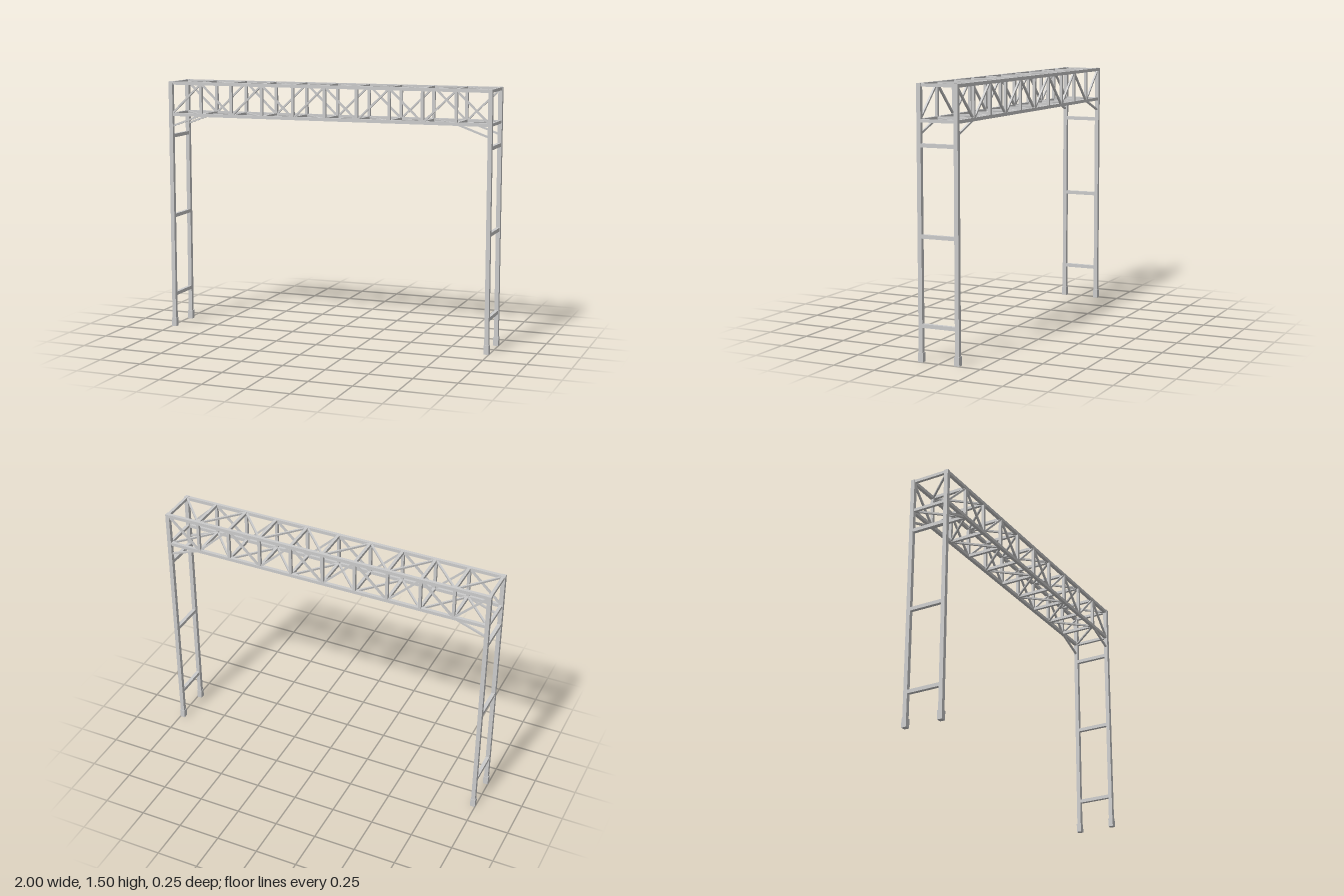
import * as THREE from 'three';

const X = 0.985, Z = 0.11;          // post centre lines
const TOP = 1.49, LOW = 1.302;      // chord heights
const PANELS = 10, STEP = (2 * X) / PANELS;

export function createModel() {
  const model = new THREE.Group();
  model.name = 'trussGantry';
  const material = new THREE.MeshStandardMaterial({ color: 0xcccccc, flatShading: true });

  // Square bar running between two points
  function bar(name, a, b, size) {
    const from = new THREE.Vector3(...a), to = new THREE.Vector3(...b);
    const mesh = new THREE.Mesh(new THREE.BoxGeometry(size, size, from.distanceTo(to)), material);
    mesh.name = name;
    mesh.position.copy(from).add(to).multiplyScalar(0.5);
    mesh.lookAt(to);
    model.add(mesh);
  }

  // Legs: posts, feet, rungs and knee braces
  for (const sx of [-1, 1]) {
    for (const sz of [-1, 1]) {
      bar('post', [sx * X, 0, sz * Z], [sx * X, 1.5, sz * Z], 0.024);
      bar('foot', [sx * X, 0, sz * Z], [sx * X, 0.052, sz * Z], 0.03);
      bar('kneeBrace', [sx * X, 1.23, sz * Z], [sx * (X - STEP), LOW, sz * Z], 0.011);
    }
    for (const y of [0.2, 0.685, 1.172]) {
      bar('legRung', [sx * X, y, -Z], [sx * X, y, Z], 0.021);
    }
  }

  // Four long chords of the box truss
  for (const y of [LOW, TOP]) {
    for (const z of [-Z, Z]) bar('chord', [-X, y, z], [X, y, z], 0.019);
  }

  // Uprights and cross members at every panel point
  for (let i = 0; i <= PANELS; i++) {
    const x = -X + i * STEP;
    for (const y of [LOW, TOP]) bar('crossMember', [x, y, -Z], [x, y, Z], 0.017);
    if (i > 0 && i < PANELS) {
      for (const z of [-Z, Z]) bar('upright', [x, LOW, z], [x, TOP, z], 0.017);
    }
  }

  // Zigzag bracing, opposite on facing sides
  for (let i = 0; i < PANELS; i++) {
    const x0 = -X + i * STEP, x1 = x0 + STEP;
    const flip = i % 2 ? -1 : 1;
    for (const s of [-1, 1]) {
      const up = s * flip > 0;
      bar('sideDiagonal', [x0, up ? LOW : TOP, s * Z], [x1, up ? TOP : LOW, s * Z], 0.011);
      const y = s > 0 ? TOP : LOW, z = s * flip * Z;
      bar('flatDiagonal', [x0, y, z], [x1, y, -z], 0.011);
    }
  }
  return model;
}
